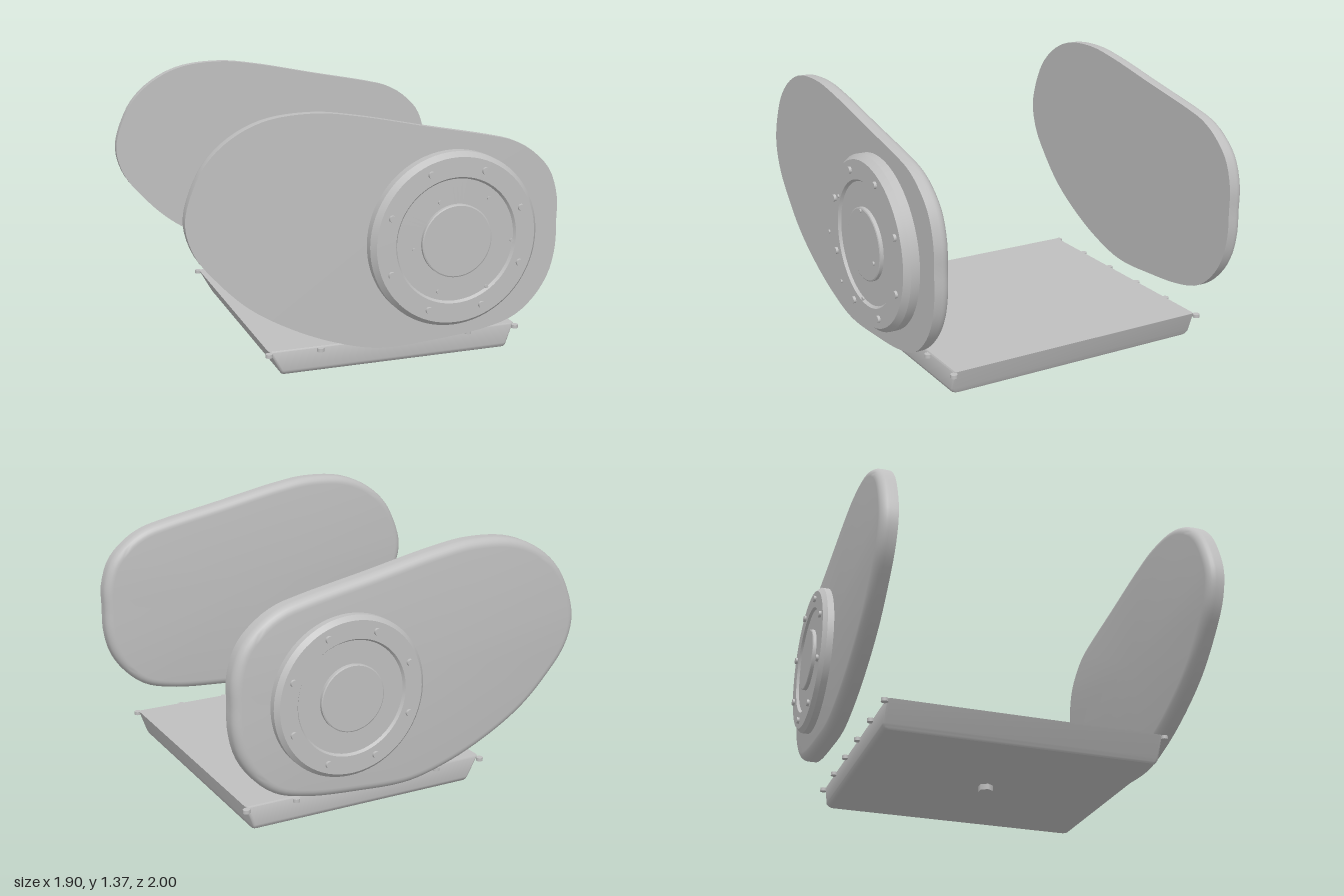
import * as THREE from 'three';
import { toCreasedNormals } from 'three/addons/utils/BufferGeometryUtils.js';

const metal = new THREE.MeshStandardMaterial({ color: 0xbfbfbf });
metal.name = 'grey metal';

// Closed solid through equal-length counter-clockwise loops stacked along z
function loft(rings, crease = 0.6) {
  const n = rings[0].length, pos = [], idx = [];
  rings.forEach(r => r.forEach(p => pos.push(p.x, p.y, p.z)));
  for (let k = 0; k < rings.length - 1; k++) {
    for (let i = 0; i < n; i++) {
      const j = (i + 1) % n, a = k * n, b = a + n;
      idx.push(a + i, a + j, b + j, a + i, b + j, b + i);
    }
  }
  const last = (rings.length - 1) * n, c = rings.length * n;
  for (const r of [rings[0], rings[rings.length - 1]]) {
    const m = r.reduce((s, p) => s.add(p), new THREE.Vector3()).divideScalar(n);
    pos.push(m.x, m.y, m.z);
  }
  for (let i = 0; i < n; i++) {
    const j = (i + 1) % n;
    idx.push(c, j, i, c + 1, last + i, last + j);
  }
  const g = new THREE.BufferGeometry();
  g.setAttribute('position', new THREE.Float32BufferAttribute(pos, 3));
  g.setIndex(idx);
  return toCreasedNormals(g, crease);
}

function add(parent, name, geometry, x = 0, y = 0, z = 0) {
  const mesh = new THREE.Mesh(geometry, metal);
  mesh.name = name;
  mesh.position.set(x, y, z);
  parent.add(mesh);
  return mesh;
}

// Egg-shaped cover plate, rounded along its rear edge
function coverGeometry(depth, fillet) {
  const outline = [
    [.947, .62], [.947, .74], [.945, .87], [.896, 1.015], [.795, 1.117], [.70, 1.17], [.59, 1.2],
    [.24, 1.27], [-.12, 1.343], [-.32, 1.368], [-.55, 1.35], [-.7, 1.29], [-.82, 1.195], [-.89, 1.09],
    [-.948, .9], [-.91, .745], [-.8, .6], [-.65, .457], [-.45, .335], [-.22, .238], [.01, .183],
    [.31, .193], [.57, .222], [.73, .27], [.84, .36], [.915, .48],
  ].map(([x, y]) => new THREE.Vector3(x, y, 0));
  const curve = new THREE.CatmullRomCurve3(outline, true);
  const n = 120;
  const ring = (inset, z) => Array.from({ length: n }, (_, i) => {
    const p = curve.getPointAt(i / n), t = curve.getTangentAt(i / n);
    return new THREE.Vector3(p.x - t.y * inset, p.y + t.x * inset, z);
  });
  const rings = [];
  for (let k = 0; k <= 6; k++) {
    const a = k / 6 * Math.PI / 2;
    rings.push(ring(fillet * (1 - Math.sin(a)), fillet * (1 - Math.cos(a))));
  }
  rings.push(ring(0, depth));
  return loft(rings);
}

// Round cap with bevelled rim, recessed ring, raised hub and eight bolts, facing +z
function roundCap(name, s, h, bevel) {
  const cap = new THREE.Group();
  cap.name = name;
  const profile = [
    [.437, -.005], [.437, h - bevel], [.414, h], [.316, h], [.306, h - .014],
    [.182, h - .014], [.182, h + .003], [.176, h + .006], [0, h + .006],
  ].map(([r, y]) => new THREE.Vector2(r * s, y));
  const body = new THREE.LatheGeometry(profile, 72).rotateX(Math.PI / 2);
  add(cap, 'capBody', toCreasedNormals(body, 0.3));
  const bolt = new THREE.CylinderGeometry(.017, .018, .02, 16).rotateX(Math.PI / 2);
  for (let i = 0; i < 8; i++) {
    const a = (i + .5) * Math.PI / 4;
    add(cap, 'capBolt', bolt, Math.cos(a) * .365 * s, Math.sin(a) * .365 * s, h + .003);
  }
  return cap;
}

// Pan with sloping ends and rounded lower side edges, built along z then stood up
function panGeometry() {
  const rect = (y, inset) => {
    const t = (y - .03) / .132, r = .015;
    const x0 = -.435 - .073 * t, x1 = .775 + .046 * t;
    const y0 = -.676 + inset, y1 = .757 - inset;
    const pts = [];
    [[x1, y0, -1], [x1, y1, 0], [x0, y1, 1], [x0, y0, 2]].forEach(([x, v, q]) => {
      const cx = x === x1 ? x - r : x + r, cy = v === y1 ? v - r : v + r;
      for (let k = 0; k <= 4; k++) {
        const a = (q + k / 4) * Math.PI / 2;
        pts.push(new THREE.Vector3(cx + Math.cos(a) * r, cy + Math.sin(a) * r, y));
      }
    });
    return pts;
  };
  const rings = [], f = .028;
  for (let k = 0; k <= 5; k++) {
    const a = k / 5 * Math.PI / 2;
    rings.push(rect(.03 + f * (1 - Math.cos(a)), f * (1 - Math.sin(a))));
  }
  rings.push(rect(.155, 0), rect(.162, .004));
  return loft(rings).rotateX(-Math.PI / 2);
}

export function createModel() {
  const model = new THREE.Group();
  model.name = 'coversAndPan';

  // Two identical covers
  const cover = coverGeometry(.088, .045);
  add(model, 'frontCover', cover, 0, 0, .758);
  add(model, 'backCover', cover, 0, 0, -.931);

  // Round caps on the outer faces
  const frontCap = roundCap('frontCap', 1, .075, .03);
  frontCap.position.set(.372, .714, .846);
  const backCap = roundCap('backCap', .907, .056, .022);
  backCap.position.set(.372, .712, -.931);
  backCap.rotation.y = Math.PI;
  model.add(frontCap, backCap);

  // Six tiny screws standing ahead of the front cap
  const screw = new THREE.CylinderGeometry(.009, .009, .008, 12).rotateX(Math.PI / 2);
  for (let i = 0; i < 6; i++) {
    const a = i * Math.PI / 3;
    add(model, 'smallScrew', screw, .372 + Math.cos(a) * .254, .714 + Math.sin(a) * .254, .996);
  }

  // Pan, its edge bolts and the drain plug
  add(model, 'pan', panGeometry());
  const stud = new THREE.CylinderGeometry(.018, .018, .018, 16);
  for (const z of [-.767, .683]) {
    for (let i = 0; i < 6; i++) add(model, 'panBolt', stud, -.508 + i * .266, .147, z);
  }
  add(model, 'drainPlug', new THREE.CylinderGeometry(.04, .04, .036, 6).rotateY(Math.PI / 6), .157, .018, -.04);

  return model;
}
